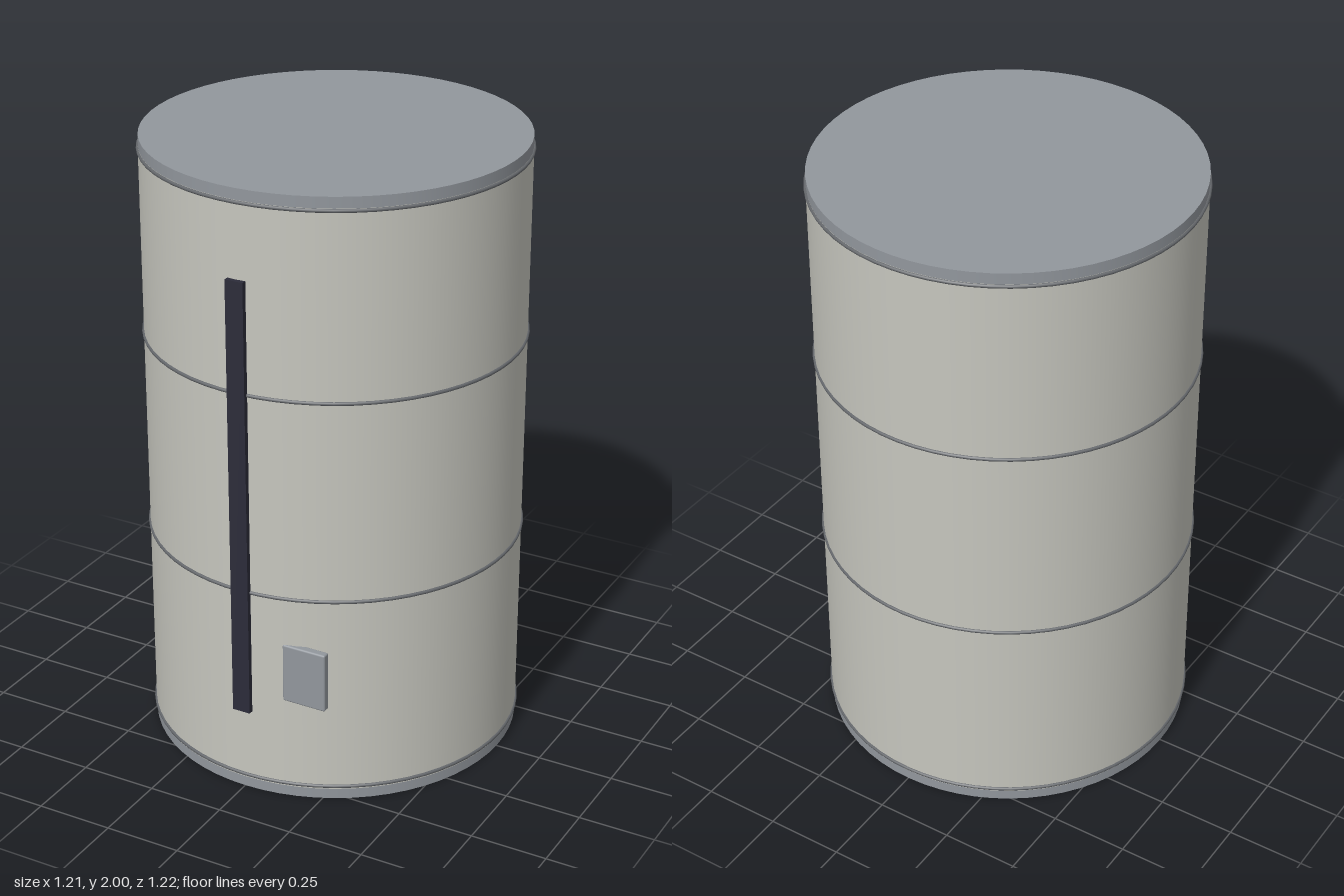
import * as THREE from 'three';
import { RoundedBoxGeometry } from 'three/addons/geometries/RoundedBoxGeometry.js';

const material = (name, color) => {
  const m = new THREE.MeshStandardMaterial({ color });
  m.name = name;
  return m;
};

export function createModel() {
  const group = new THREE.Group();
  const shellPaint = material('warm grey shell', 0xc6c6be);
  const capMetal = material('blue grey metal', 0x92979d);
  const seamMetal = material('dark grey seam', 0x65686c);
  const gaugeDark = material('dark gauge', 0x2c2c3a);
  const axisZ = -0.005;

  const add = (name, geometry, mat, x, y, z) => {
    const mesh = new THREE.Mesh(geometry, mat);
    mesh.name = name;
    mesh.position.set(x, y, z);
    group.add(mesh);
    return mesh;
  };

  // Tank shell between the two end caps
  add('shell', new THREE.CylinderGeometry(0.598, 0.598, 1.93, 64, 1, true), shellPaint, 0, 1, axisZ);

  // End caps
  for (const [name, y] of [['bottomCap', 0.02], ['topCap', 1.98]]) {
    add(name, new THREE.CylinderGeometry(0.597, 0.597, 0.04, 64), capMetal, 0, y, axisZ);
  }

  // Thin weld seams around the shell
  for (const y of [0.045, 0.703, 1.362, 1.958]) {
    const seam = add('seamRing', new THREE.TorusGeometry(0.598, 0.006, 8, 64), seamMetal, 0, y, axisZ);
    seam.rotation.x = Math.PI / 2;
  }

  // Upright level gauge on the front
  add('levelGauge', new THREE.BoxGeometry(0.06, 1.44, 0.024), gaugeDark, 0, 1.002, 0.596);

  // Small plate beside the gauge
  add('plate', new RoundedBoxGeometry(0.148, 0.198, 0.027, 2, 0.006), capMetal, 0.206, 0.444, 0.566);

  return group;
}
